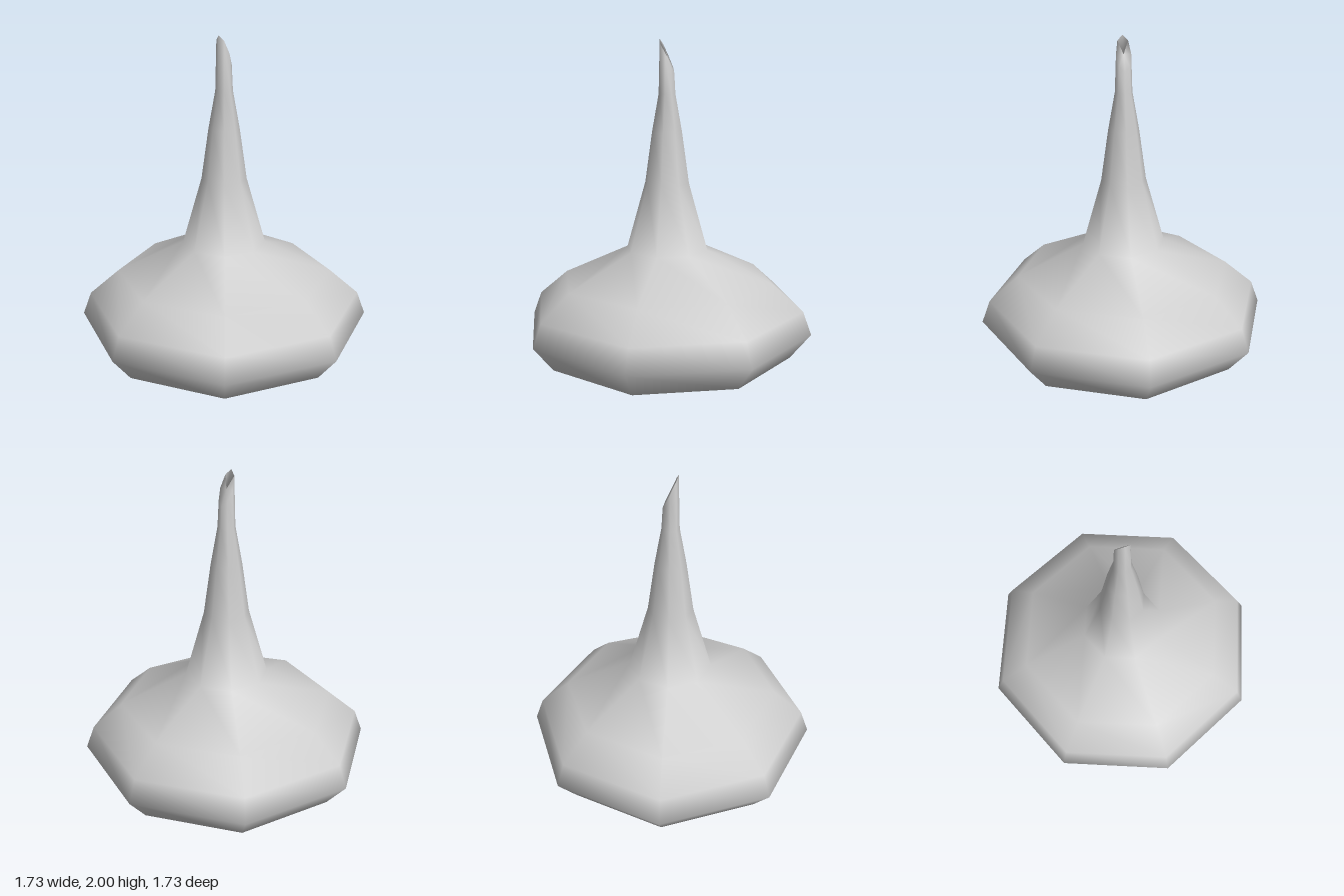
import * as THREE from 'three';
import { mergeVertices } from 'three/addons/utils/BufferGeometryUtils.js';

export function createModel() {
  const group = new THREE.Group();
  group.name = 'spireTop';
  const grey = new THREE.MeshStandardMaterial({ color: 0xcccccc });
  grey.name = 'light grey';

  // Eight-sided bulb rising into a slender neck; the last two points form the tip
  const cutHeight = 1.9;
  const profile = [
    [0, 0], [0.52, 0.08], [0.745, 0.16], [0.865, 0.31], [0.815, 0.445],
    [0.64, 0.595], [0.245, 0.78], [0.132, 1.175], [0.09, 1.47],
    [0.05, 1.69], [0.043, cutHeight], [0, cutHeight],
  ].map(([r, y]) => new THREE.Vector2(r, y));
  const geometry = new THREE.LatheGeometry(profile, 8);

  // Slant the cut at the tip so it rises to a point on the -x side
  const pos = geometry.attributes.position;
  for (let i = 0; i < pos.count; i++) {
    if (pos.getY(i) > cutHeight - 0.01) {
      const x = pos.getX(i);
      pos.setY(i, cutHeight - x * (x < 0 ? 2.326 : 2.1));
    }
  }

  // Weld the seam and poles for smooth normals all round
  geometry.deleteAttribute('uv');
  geometry.deleteAttribute('normal');
  const welded = mergeVertices(geometry, 1e-4);
  welded.computeVertexNormals();

  const body = new THREE.Mesh(welded, grey);
  body.name = 'bulbAndNeck';
  group.add(body);
  return group;
}
